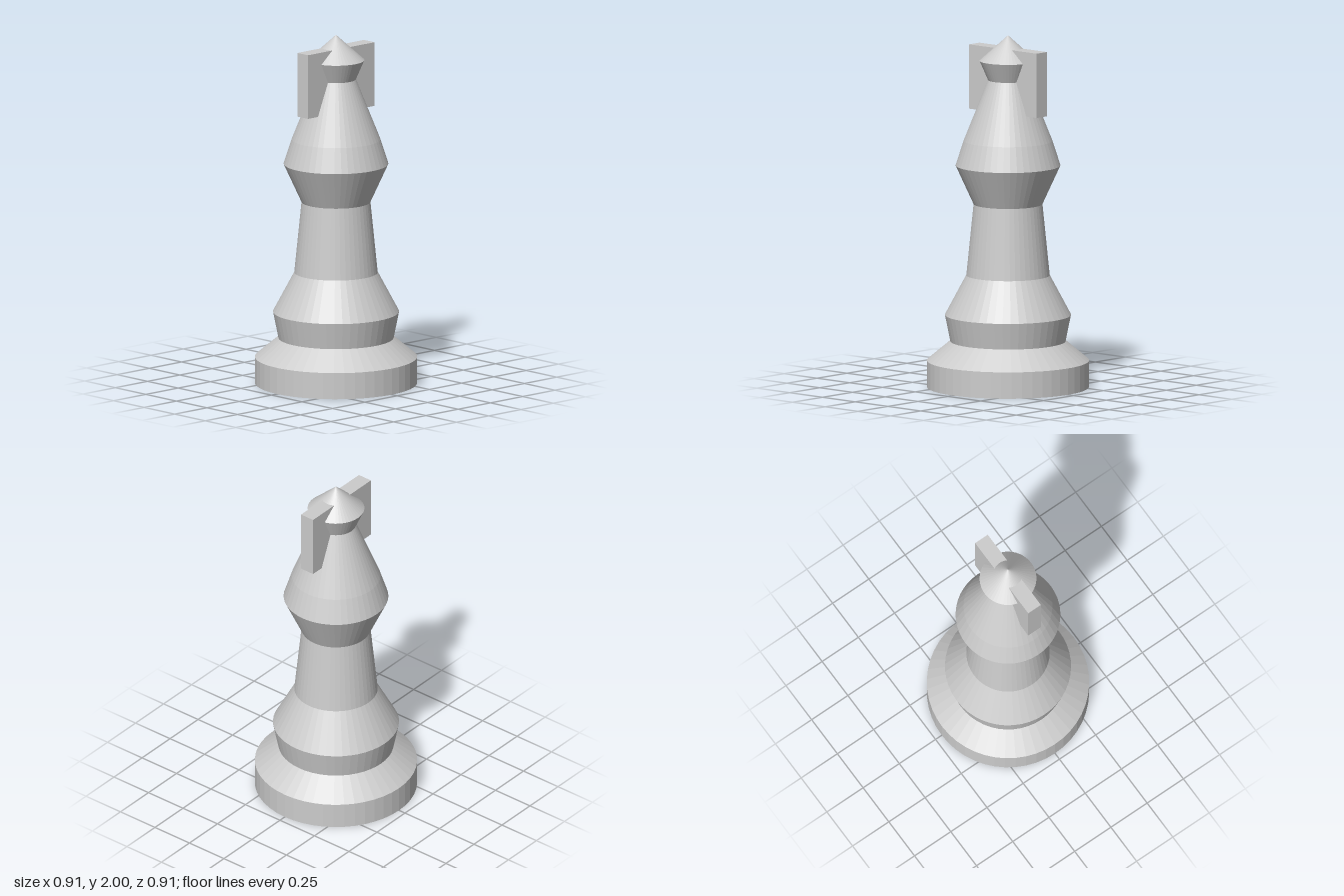
import * as THREE from 'three';

const SEGMENTS = 48;

// Turned section from [radius, height] points listed bottom to top
function turned(name, points, material) {
  const profile = points.map(([r, y]) => new THREE.Vector2(r, y));
  const geometry = new THREE.LatheGeometry(profile, SEGMENTS).toNonIndexed();
  geometry.computeVertexNormals();
  const mesh = new THREE.Mesh(geometry, material);
  mesh.name = name;
  return mesh;
}

export function createModel() {
  const group = new THREE.Group();
  group.name = 'chessPiece';
  const grey = new THREE.MeshStandardMaterial({ color: 0xcccccc });
  grey.name = 'light grey';
  grey.flatShading = true;

  group.add(
    // Foot disc with sloped shoulder
    turned('base', [[0, 0], [0.457, 0], [0.457, 0.15], [0.325, 0.26]], grey),
    // Flared ring narrowing into the stem
    turned('lowerCollar', [[0.325, 0.26], [0.355, 0.41], [0.235, 0.635]], grey),
    turned('stem', [[0.235, 0.635], [0.194, 1.04]], grey),
    // Bulging head
    turned('head', [[0.194, 1.04], [0.295, 1.26], [0.25, 1.4], [0.112, 1.745]], grey),
    // Pointed cap
    turned('finial', [[0.112, 1.745], [0.16, 1.855], [0, 2]], grey),
  );

  // Flat bar running through the head
  const bar = new THREE.Mesh(new THREE.BoxGeometry(0.516, 0.366, 0.087), grey);
  bar.name = 'crossBar';
  bar.position.y = 1.743;
  group.add(bar);

  return group;
}
